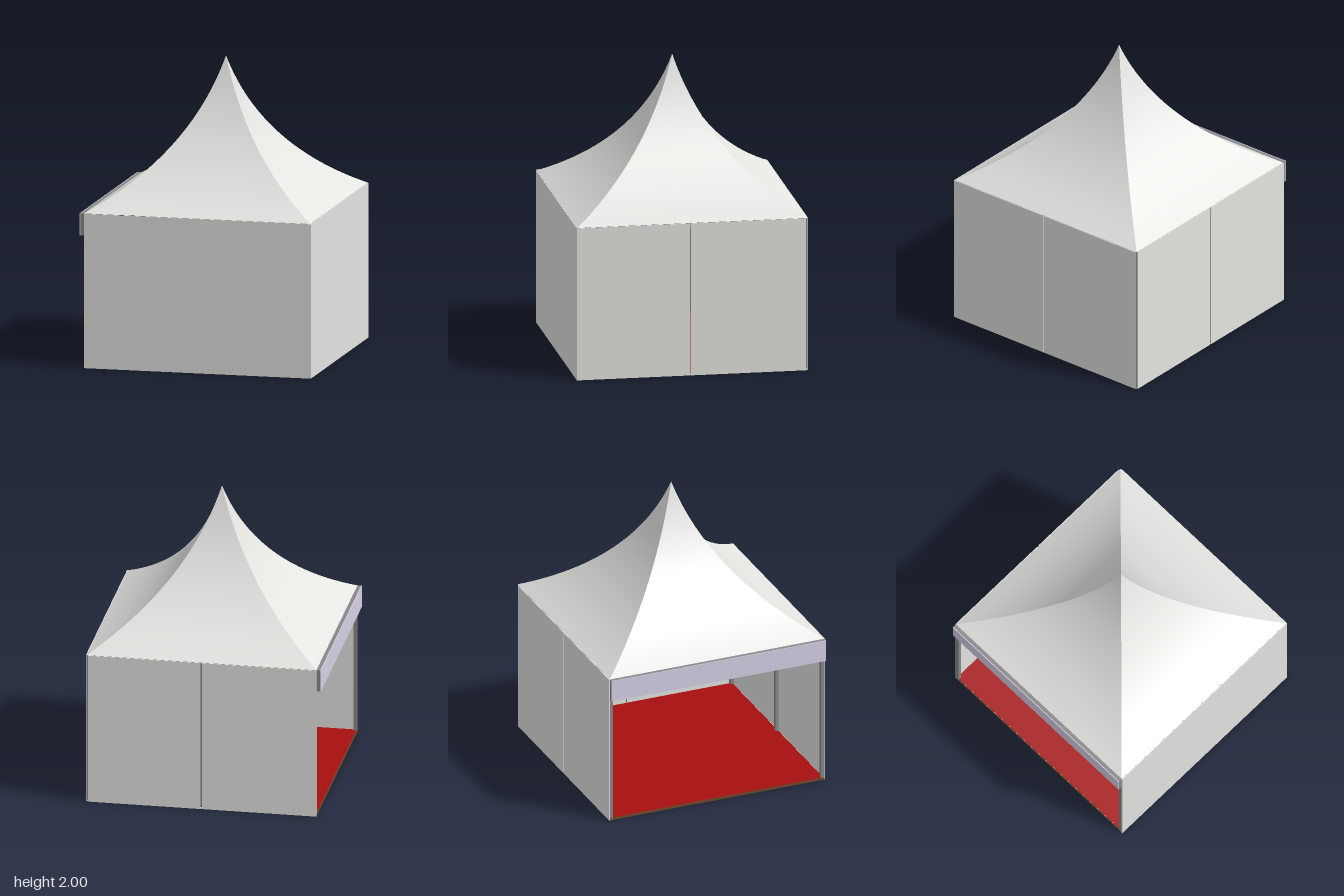
import * as THREE from 'three';

const material = (name, color, side = THREE.FrontSide) => {
  const m = new THREE.MeshStandardMaterial({ color, side });
  m.name = name;
  return m;
};

export function createModel() {
  const tent = new THREE.Group();
  tent.name = 'pagodaTent';
  const canvas = material('white canvas', 0xe4e5e1, THREE.DoubleSide);
  const metal = material('grey metal', 0x888888);
  const lilac = material('pale lilac', 0xdcd5ec);
  const red = material('red carpet', 0xa81010);
  const brown = material('brown wood', 0x6e4a2a);

  // box given by its minimum and maximum corners
  const box = (name, mat, a, b) => {
    const mesh = new THREE.Mesh(new THREE.BoxGeometry(b[0] - a[0], b[1] - a[1], b[2] - a[2]), mat);
    mesh.position.set((a[0] + b[0]) / 2, (a[1] + b[1]) / 2, (a[2] + b[2]) / 2);
    mesh.name = name;
    tent.add(mesh);
    return mesh;
  };

  const cx = 0.007, half = 0.772, eave = 1.04, peak = 2;
  const x0 = cx - half, x1 = cx + half;

  // concave roof face: square cross-sections following a sagging curve
  const rows = 28, cols = 8, sag = 0.125;
  const roofFace = () => {
    const g = new THREE.PlaneGeometry(1, 1, cols, rows);
    const p = g.attributes.position, uv = g.attributes.uv;
    const h = peak - eave, len = Math.hypot(h, half);
    for (let i = 0; i < p.count; i++) {
      const t = 1 - uv.getY(i);
      const d = 4 * sag * t * (1 - t);
      const w = half * t - d * h / len;
      const y = peak - h * t - d * half / len;
      p.setXYZ(i, (uv.getX(i) * 2 - 1) * w, y, w);
    }
    g.computeVertexNormals();
    return g;
  };
  const roof = new THREE.Group();
  roof.name = 'roof';
  roof.position.x = cx;
  const faceGeometry = roofFace();
  ['roofFront', 'roofLeft', 'roofBack', 'roofRight'].forEach((name, i) => {
    const face = new THREE.Mesh(faceGeometry, canvas);
    face.name = name;
    face.rotation.y = i * Math.PI / 2;
    roof.add(face);
  });
  tent.add(roof);

  // floor with carpet and a wooden edge on the open side
  box('floorBase', canvas, [x0 + 0.004, 0, -half], [x1, 0.01, half]);
  box('carpet', red, [x0 + 0.006, 0.01, -half + 0.004], [x1 - 0.006, 0.016, half - 0.006]);
  box('floorEdge', brown, [x0, 0, -half], [x0 + 0.004, 0.016, half]);

  // corner posts, plus posts behind the seams of the closed sides
  for (const z of [-1, 1]) {
    for (const x of [x0, x1 - 0.024]) {
      const zc = z * (half - 0.012);
      box('cornerPost', metal, [x, 0, zc - 0.012], [x + 0.024, eave - 0.002, zc + 0.012]);
    }
    const zm = z * (half - 0.016);
    box('middlePost', metal, [cx - 0.012, 0.01, zm - 0.01], [cx + 0.012, eave - 0.01, zm + 0.01]);
  }

  // canvas walls: two panels on each closed side with a narrow seam
  const seam = 0.003, thick = 0.005;
  for (const s of [-1, 1]) {
    const za = s > 0 ? half : -half - thick;
    const gap = s > 0 ? 0.001 : 0.006;
    box('wallPanel', canvas, [x0, 0, za], [cx - gap, eave - 0.002, za + thick]);
    box('wallPanel', canvas, [cx + gap, 0, za], [x1 - (s < 0 ? 0.01 : 0), eave - 0.002, za + thick]);
  }
  box('sidePanel', canvas, [x1, 0, -half + 0.01], [x1 + thick, eave - 0.002, 0.012 - seam / 2]);
  box('sidePanel', canvas, [x1, 0, 0.012 + seam / 2], [x1 + thick, eave - 0.002, half + thick]);

  // eave rails under the roof edges
  for (const z of [-half, half - 0.014])
    box('eaveRail', metal, [x0, eave - 0.03, z], [x1, eave - 0.004, z + 0.014]);
  box('eaveRail', metal, [x1 - 0.014, eave - 0.03, -half], [x1, eave - 0.004, half]);

  // beam over the opening with a coloured valance
  box('openingBeam', metal, [-0.79, 0.89, -half], [x0, eave, half]);
  box('valance', lilac, [-0.795, 0.89, -half], [-0.79, eave, half]);

  return tent;
}
